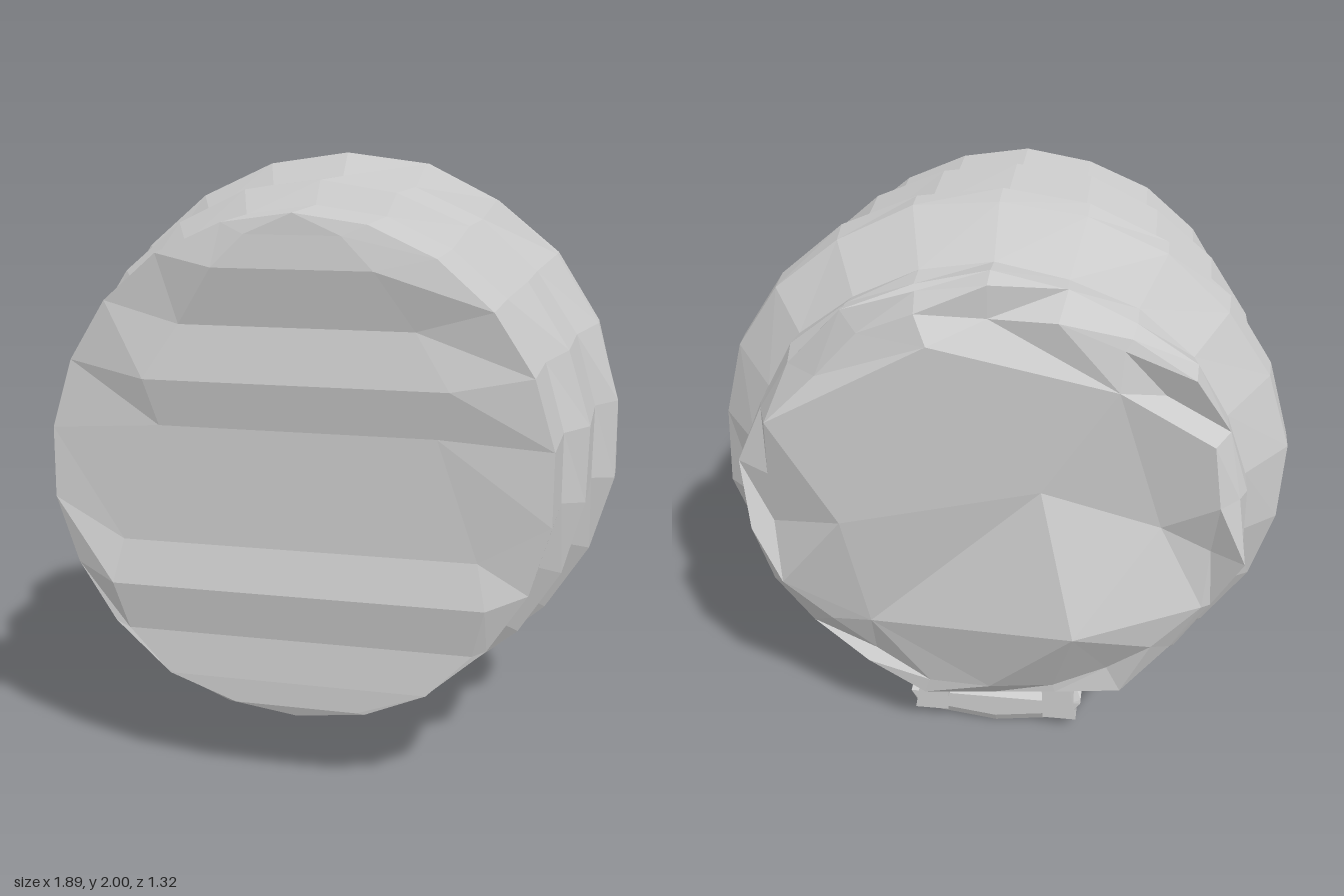
import * as THREE from 'three';

const SIDES = 22, CY = 1.045;
const material = new THREE.MeshStandardMaterial({ color: 0xcccccc, flatShading: true, side: THREE.DoubleSide });

// Collects triangles and turns them into one faceted mesh
function facets(name, build) {
  const pos = [];
  const tri = (a, b, c) => pos.push(...a, ...b, ...c);
  const quad = (a, b, c, d) => { tri(a, b, c); tri(a, c, d); };
  build(tri, quad);
  const geo = new THREE.BufferGeometry();
  geo.setAttribute('position', new THREE.Float32BufferAttribute(pos, 3));
  geo.computeVertexNormals();
  const mesh = new THREE.Mesh(geo, material);
  mesh.name = name;
  return mesh;
}

// Ring of points around the z axis; wobble gives the hand-worn unevenness
function ring(z, r, wz = 0, wr = 0, seed = 0) {
  return Array.from({ length: SIDES }, (_, i) => {
    const t = i / SIDES * Math.PI * 2;
    const rr = r + wr * Math.sin(i * 2.3 + seed);
    return [rr * Math.sin(t), CY + rr * Math.cos(t), z + wz * Math.sin(i * 1.9 + seed * 2)];
  });
}

// Skin between successive rings, front to back
function skin(name, rings) {
  return facets(name, (tri, quad) => {
    for (let k = 0; k + 1 < rings.length; k++)
      for (let i = 0; i < SIDES; i++) {
        const j = (i + 1) % SIDES, f = rings[k], b = rings[k + 1];
        quad(f[i], f[j], b[j], b[i]);
      }
  });
}

// Front face: horizontal rows [y, z, half width] forming two ridges
function frontFace(rim) {
  const rows = [
    [1.78, 0.645, 0.15], [1.68, 0.658, 0.25], [1.5, 0.618, 0.37], [1.33, 0.655, 0.48], [1.18, 0.625, 0.44],
    [0.8, 0.625, 0.57], [0.66, 0.66, 0.6], [0.5, 0.628, 0.56], [0.36, 0.64, 0.42], [0.28, 0.64, 0.2],
  ];
  const last = rows.length, half = SIDES / 2;
  const line = rows.map(([y, z, w], k) => [rim[SIDES - 1 - k], [-w, y, z], [w, y, z], rim[k + 1]]);
  return facets('frontFace', (tri, quad) => {
    for (let k = 0; k + 1 < last; k++)
      for (let c = 0; c < 3; c++)
        quad(line[k][c], line[k + 1][c], line[k + 1][c + 1], line[k][c + 1]);
    for (let c = 0; c < 3; c++) {
      tri(rim[0], line[0][c], line[0][c + 1]);
      tri(rim[half], line[last - 1][c + 1], line[last - 1][c]);
    }
  });
}

// Broken back: jagged rim stitched to a few crags around a central hub
function brokenBack(rim) {
  const hub = [-0.17, 1.18, -0.54];
  const crags = [
    [0.17, 1.7, -0.585], [0.47, 1.04, -0.585], [0.4, 0.6, -0.53],
    [-0.29, 0.69, -0.66], [-0.55, 1.02, -0.46], [-0.4, 1.55, -0.53],
  ];
  const angle = p => Math.atan2(p[0], p[1] - CY);
  const nearest = p => {
    const score = crags.map(c => Math.cos(angle(c) - angle(p)));
    return crags[score.indexOf(Math.max(...score))];
  };
  return facets('brokenBack', tri => {
    rim.forEach((p, i) => {
      const q = rim[(i + 1) % SIDES], a = nearest(p), b = nearest(q);
      tri(p, q, a);
      if (a !== b) tri(q, b, a);
    });
    crags.forEach((c, i) => tri(c, crags[(i + 1) % crags.length], hub));
  });
}

// Foot under the flange: curved floor lofted along z
function footFloor() {
  const section = (z, drop, top) => [
    [-0.31, 0.13, z], [-0.28, 0.045 + drop, z], [0, drop, z], [0.28, 0.04 + drop, z], [0.31, 0.13, z],
    [0.25, top, z], [-0.25, top, z],
  ];
  const s = [section(-0.09, 0.1, 0.2), section(-0.17, 0, 0.16), section(-0.34, 0, 0.1), section(-0.36, 0.04, 0.1)];
  return facets('footFloor', (tri, quad) => {
    for (let k = 0; k < 3; k++)
      for (let i = 0; i < 7; i++) {
        const j = (i + 1) % 7;
        quad(s[k][i], s[k + 1][i], s[k + 1][j], s[k][j]);
      }
    for (let i = 1; i < 6; i++) {
      tri(s[0][0], s[0][i], s[0][i + 1]);
      tri(s[3][0], s[3][i + 1], s[3][i]);
    }
  });
}

// Tapered lug at each end of the foot
function footLug(side) {
  const geo = new THREE.BoxGeometry(0.12, 0.19, 0.2);
  const p = geo.attributes.position;
  for (let i = 0; i < p.count; i++) {
    if (p.getY(i) > 0) p.setXYZ(i, p.getX(i) * 0.8 - side * 0.02, p.getY(i), p.getZ(i) * 0.9 - 0.01);
  }
  geo.computeVertexNormals();
  const mesh = new THREE.Mesh(geo, material);
  mesh.position.set(side * 0.235, 0.15, -0.265);
  mesh.name = side > 0 ? 'leftFootLug' : 'rightFootLug';
  return mesh;
}

export function createModel() {
  const group = new THREE.Group();
  group.name = 'drum';

  const frontRim = ring(0.632, 0.8, 0.008, 0, 1);
  const drumEnd = ring(0.352, 0.805, 0.004, 0, 2);
  const bandStart = ring(0.29, 0.88, 0.004, 0.003, 3);
  const bandEnd = ring(-0.032, 0.88, 0.006, 0.002, 4);
  const flangeFront = ring(-0.095, 0.955, 0.006, 0, 5);
  const flangeBack = ring(-0.185, 0.95, 0.012, 0.006, 6);
  const neckStart = ring(-0.33, 0.81, 0.006, 0.006, 7);
  const neckMid = ring(-0.41, 0.818, 0.015, 0.012, 8);
  const neckEnd = ring(-0.47, 0.812, 0.035, 0.02, 9);
  const brokenRim = ring(-0.492, 0.74, 0.035, 0.03, 11);

  group.add(
    frontFace(frontRim),
    skin('frontDrum', [frontRim, drumEnd, bandStart]),
    skin('middleBand', [bandStart, bandEnd]),
    skin('flange', [bandEnd, flangeFront, flangeBack, neckStart]),
    skin('neck', [neckStart, neckMid, neckEnd, brokenRim]),
    brokenBack(brokenRim),
    footFloor(), footLug(1), footLug(-1),
  );
  return group;
}
